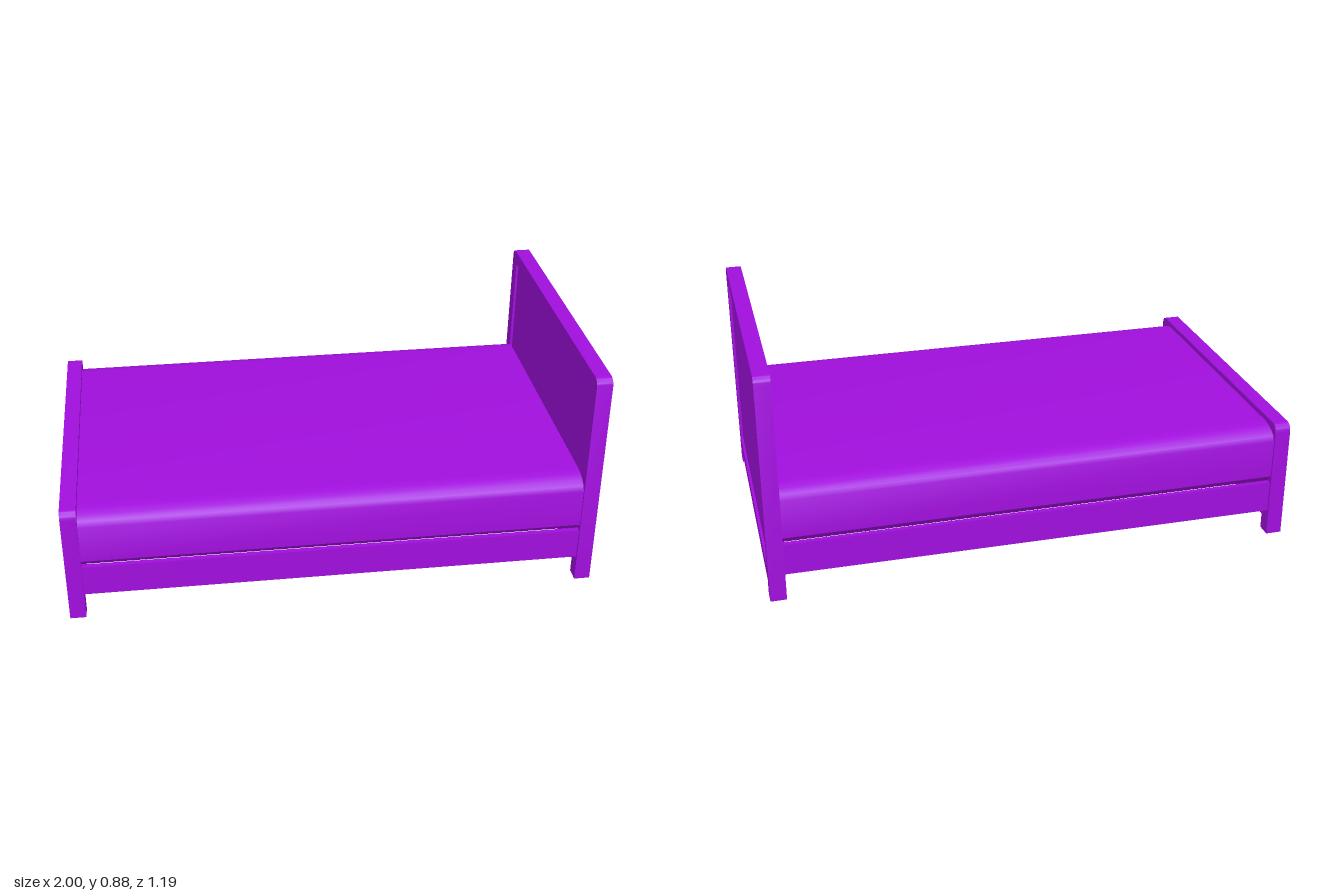
import * as THREE from 'three';
import { toCreasedNormals } from 'three/addons/utils/BufferGeometryUtils.js';

const material = new THREE.MeshStandardMaterial({ color: 0xa00fdc, side: THREE.DoubleSide });
const HALF = 0.597;   // half width of the bed
const THICK = 0.06;   // thickness of the end boards
const BORDER = 0.055; // width of the posts and rails around a panel

function part(name, geometry) {
  const mesh = new THREE.Mesh(geometry, material);
  mesh.name = name;
  return mesh;
}

// End board: two legs, rounded upper corners, and a panel recessed on both faces
function endBoard(name, height, x) {
  const board = new THREE.Group();
  board.name = name;
  const inner = HALF - BORDER, r = 0.03, clear = 0.06, panelBottom = 0.115;
  const panelTop = height - 0.052;

  const s = new THREE.Shape();
  s.moveTo(-HALF, 0);
  s.lineTo(-inner, 0);
  s.lineTo(-inner, clear);
  s.lineTo(inner, clear);
  s.lineTo(inner, 0);
  s.lineTo(HALF, 0);
  s.lineTo(HALF, height - r);
  s.absarc(HALF - r, height - r, r, 0, Math.PI / 2, false);
  s.lineTo(-HALF + r, height);
  s.absarc(-HALF + r, height - r, r, Math.PI / 2, Math.PI, false);
  s.closePath();

  const hole = new THREE.Path();
  hole.moveTo(-inner, panelBottom);
  hole.lineTo(-inner, panelTop);
  hole.lineTo(inner, panelTop);
  hole.lineTo(inner, panelBottom);
  hole.closePath();
  s.holes.push(hole);

  const frame = new THREE.ExtrudeGeometry(s, { depth: THICK, bevelEnabled: false, curveSegments: 5 });
  frame.translate(0, 0, -THICK / 2).rotateY(Math.PI / 2);
  board.add(part(name + 'Frame', toCreasedNormals(frame, 0.6)));

  const panel = part(name + 'Panel', new THREE.BoxGeometry(THICK - 0.02, panelTop - panelBottom, inner * 2));
  panel.position.y = (panelTop + panelBottom) / 2;
  board.add(panel);

  board.position.x = x;
  return board;
}

// Open sheet swept along x from a list of [z, y] points
function sweep(profile, length) {
  const g = new THREE.PlaneGeometry(length, 1, 1, profile.length - 1);
  const p = g.attributes.position;
  for (let i = 0; i < p.count; i++) {
    const [z, y] = profile[Math.floor(i / 2)];
    p.setXYZ(i, p.getX(i), y, z);
  }
  return toCreasedNormals(g, 0.6);
}

export function createModel() {
  const bed = new THREE.Group();
  bed.name = 'bed';
  const length = 2 - 2 * THICK;

  bed.add(endBoard('headboard', 0.88, 1 - THICK / 2));
  bed.add(endBoard('footboard', 0.47, -1 + THICK / 2));

  // Mattress: hollow below, soft upper edges, lower edges tucked in
  const front = [
    [0.5, 0.45], [0.53, 0.446], [0.56, 0.435], [0.58, 0.42], [0.59, 0.4],
    [0.59, 0.25], [0.565, 0.222],
  ];
  const back = front.map(([z, y]) => [-z, y]).reverse();
  bed.add(part('mattress', sweep([...back, ...front], length)));

  // Side rails, thin boards below the groove
  for (const side of [1, -1]) {
    const rail = part(side > 0 ? 'frontRail' : 'backRail', new THREE.BoxGeometry(length, 0.122, 0.02));
    rail.position.set(0, 0.161, side * 0.578);
    bed.add(rail);
  }
  return bed;
}
